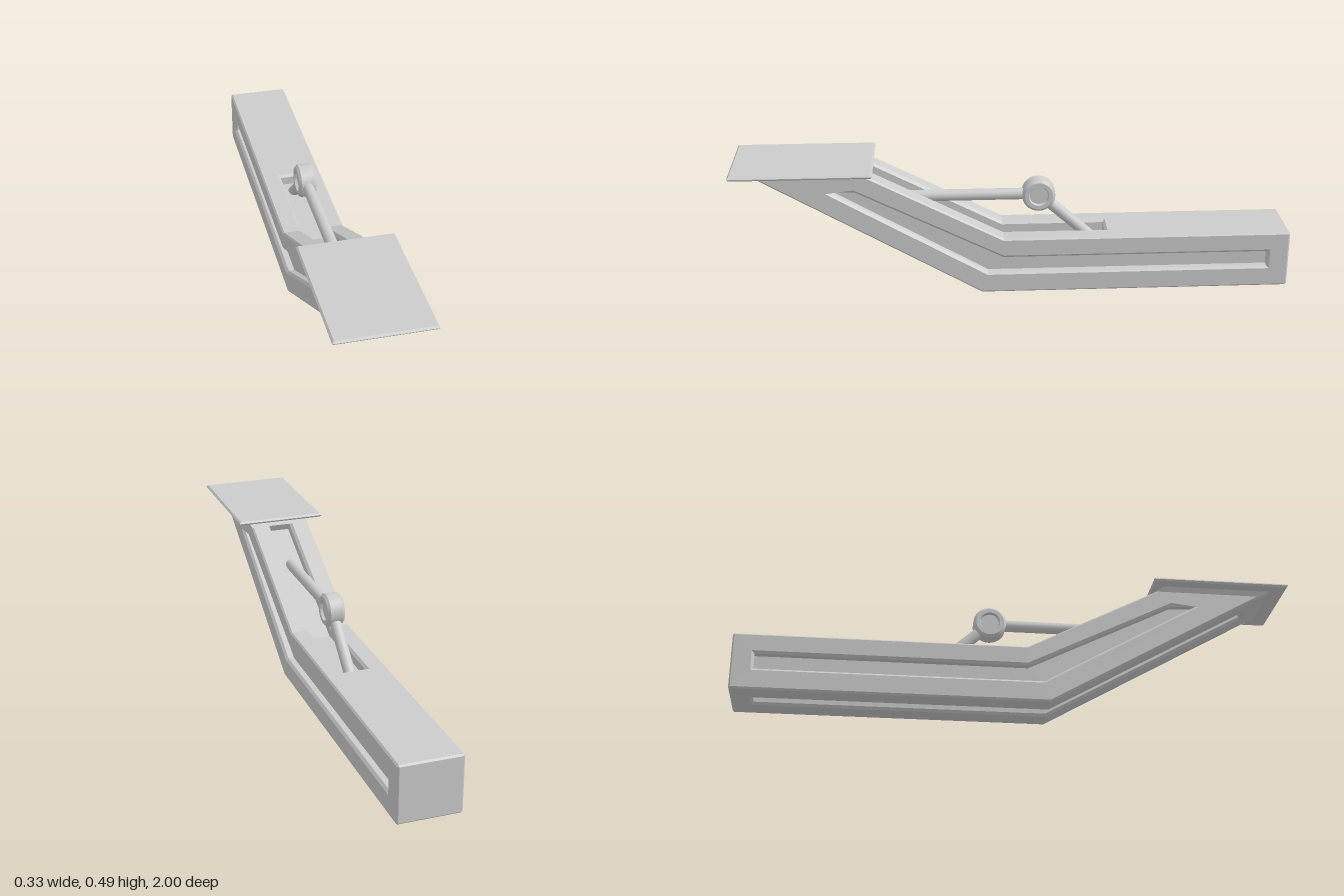
import * as THREE from 'three';
import { toCreasedNormals } from 'three/addons/utils/BufferGeometryUtils.js';

const W = 0.113, C = 0.006;      // half width of the beam, edge chamfer
const GB = 0.009;                // bevel of the groove rims

// Profile points are [z, y] pairs, running from the back to the front.
const TOP = [[-1 + C, 0.21], [0.04, 0.21], [0.55, 0.475]];
const BOTTOM = [[-1 + C, 0], [0.12, 0], [0.94, 0.475]];

const along = (a, b, d) => {
  const l = Math.hypot(b[0] - a[0], b[1] - a[1]);
  return [a[0] + (b[0] - a[0]) / l * d, a[1] + (b[1] - a[1]) / l * d];
};
const shorten = ([a, b, c], d) => [along(a, b, d), b, along(c, b, d)];

// Parallel copy of a bent line, mitred at the bend; positive d moves it up
function offset(p, d) {
  const n = [0, 1].map((i) => {
    const dz = p[i + 1][0] - p[i][0], dy = p[i + 1][1] - p[i][1], l = Math.hypot(dz, dy);
    return [-dy / l, dz / l];
  });
  const k = 1 + n[0][0] * n[1][0] + n[0][1] * n[1][1];
  const miter = [(n[0][0] + n[1][0]) / k, (n[0][1] + n[1][1]) / k];
  return [n[0], miter, n[1]].map((m, i) => [p[i][0] + m[0] * d, p[i][1] + m[1] * d]);
}
const rail = (x, p) => p.map(([z, y]) => [x, y, z]);

// Top or bottom panel: edge, groove rim, bevel and floor rails, then mirrored
function flatPanel(line, groove, half, depth, inward, dir) {
  const short = shorten(groove, GB);
  const rails = [
    [W - C, line],
    [half, groove],
    [half - GB, offset(short, inward * GB)],
    [half - GB, offset(short, inward * depth)],
  ];
  return [...rails.map(([x, p]) => rail(-dir * x, p)), ...rails.reverse().map(([x, p]) => rail(dir * x, p))];
}

// Side panel with its bent groove, listed from top to bottom
function sidePanel(sign) {
  const up = [[-0.93, 0.145], [0.04, 0.145], [0.57, 0.412]];
  const low = [[-0.93, 0.07], [0.1, 0.07], [0.67, 0.4]];
  const upIn = offset(shorten(up, GB), -GB), lowIn = offset(shorten(low, GB), GB);
  const rails = [
    [W, offset(TOP, -C)], [W, up], [W - GB, upIn], [W - 0.03, upIn],
    [W - 0.03, lowIn], [W - GB, lowIn], [W, low], [W, offset(BOTTOM, C)],
  ].map(([x, p]) => rail(sign * x, p));
  return sign > 0 ? rails : rails.reverse();
}

function facets(quads) {
  const pos = [];
  for (const [a, b, c, d] of quads) pos.push(...a, ...b, ...c, ...a, ...c, ...d);
  const g = new THREE.BufferGeometry();
  g.setAttribute('position', new THREE.Float32BufferAttribute(pos, 3));
  g.computeVertexNormals();
  return g;
}

function beamGeometry() {
  const topGroove = [[-0.34, 0.21], [0.04, 0.21], [0.53, 0.4646]];
  const bottomGroove = [[-0.93, 0], [0.12, 0], [0.871, 0.435]];
  // Panels in order around the beam
  const panels = [
    flatPanel(TOP, topGroove, 0.05, 0.04, -1, 1),
    sidePanel(1),
    flatPanel(BOTTOM, bottomGroove, 0.035, 0.04, 1, -1),
    sidePanel(-1),
  ];
  const quads = [];
  const strip = (r, s) => {
    for (let j = 0; j < 2; j++) quads.push([r[j], r[j + 1], s[j + 1], s[j]]);
  };
  panels.forEach((p, n) => {
    for (let i = 0; i < 7; i++) strip(p[i], p[i + 1]);
    // Ends of the groove
    for (let i = 0; i < 3; i++) {
      const [a, b, c, d] = [p[i], p[i + 1], p[6 - i], p[7 - i]];
      quads.push([a[0], b[0], c[0], d[0]], [a[2], d[2], c[2], b[2]]);
    }
    strip(p[7], panels[(n + 1) % 4][0]); // chamfer to the next panel
  });
  // Back end with chamfered rim, and front end
  const rim = panels.flatMap((p) => [p[0], p[7]]);
  const cap = rim.map(([r]) => [Math.sign(r[0]) * (W - C), r[1] > 0.1 ? 0.21 - C : C, -1]);
  rim.forEach((r, k) => {
    const m = (k + 1) % 8;
    quads.push([cap[k], r[0], rim[m][0], cap[m]]);
  });
  quads.push([cap[0], cap[1], cap[4], cap[5]]);
  quads.push([rim[0][2], rim[5][2], rim[4][2], rim[1][2]]);
  return facets(quads);
}

// Small flare where the beam meets the plate
function collarGeometry() {
  const ring = (y, x, grow) => {
    const front = 0.12 + y * 1.726 + grow, back = 0.04 + (y - 0.21) * 1.925 - grow;
    return [[-x, y, front], [x, y, front], [x, y, back], [-x, y, back]];
  };
  const a = ring(0.456, W, 0), b = ring(0.476, 0.123, 0.004);
  return facets(a.map((p, i) => [p, a[(i + 1) % 4], b[(i + 1) % 4], b[i]]));
}

function plateGeometry() {
  const x = 0.161, z = 0.244;
  const s = new THREE.Shape([[-x, -z], [x, -z], [x, z], [-x, z]].map((p) => new THREE.Vector2(...p)));
  const g = new THREE.ExtrudeGeometry(s, { depth: 0.002, bevelThickness: 0.006, bevelSize: 0.006, bevelSegments: 1 });
  return g.rotateX(-Math.PI / 2).translate(0, 0.48, 0.75);
}

function rodGeometry(a, b, r) {
  const p = new THREE.Vector3(0, a[1], a[0]), q = new THREE.Vector3(0, b[1], b[0]);
  const dir = q.clone().sub(p);
  const g = new THREE.CylinderGeometry(r, r, dir.length(), 24);
  g.applyQuaternion(new THREE.Quaternion().setFromUnitVectors(new THREE.Vector3(0, 1, 0), dir.normalize()));
  return g.translate(...p.add(q).multiplyScalar(0.5).toArray());
}

// Round hub with a chamfered rim and a dished face on both sides
function hubGeometry() {
  const half = [[0, 0.022], [0.033, 0.022], [0.037, 0.032], [0.051, 0.032], [0.06, 0.023]];
  const profile = [...half.map(([r, h]) => [r, -h]), ...half.reverse()];
  const g = new THREE.LatheGeometry(profile.map((p) => new THREE.Vector2(...p)), 32);
  return toCreasedNormals(g, 0.4).rotateZ(Math.PI / 2).translate(0, 0.34, -0.09);
}

export function createModel() {
  const group = new THREE.Group();
  const smooth = new THREE.MeshStandardMaterial({ color: 0xcccccc });
  const flat = new THREE.MeshStandardMaterial({ color: 0xcccccc, flatShading: true });
  const open = new THREE.MeshStandardMaterial({ color: 0xcccccc, flatShading: true, side: THREE.DoubleSide });
  const add = (name, geometry, material) => {
    const mesh = new THREE.Mesh(geometry, material);
    mesh.name = name;
    group.add(mesh);
  };
  add('bentBeam', beamGeometry(), flat);
  add('plateCollar', collarGeometry(), open);
  add('topPlate', plateGeometry(), flat);
  add('frontRod', rodGeometry([-0.09, 0.34], [0.38, 0.34], 0.021), smooth);
  add('rearRod', rodGeometry([-0.09, 0.34], [-0.285, 0.165], 0.021), smooth);
  add('rodHub', hubGeometry(), smooth);
  return group;
}
